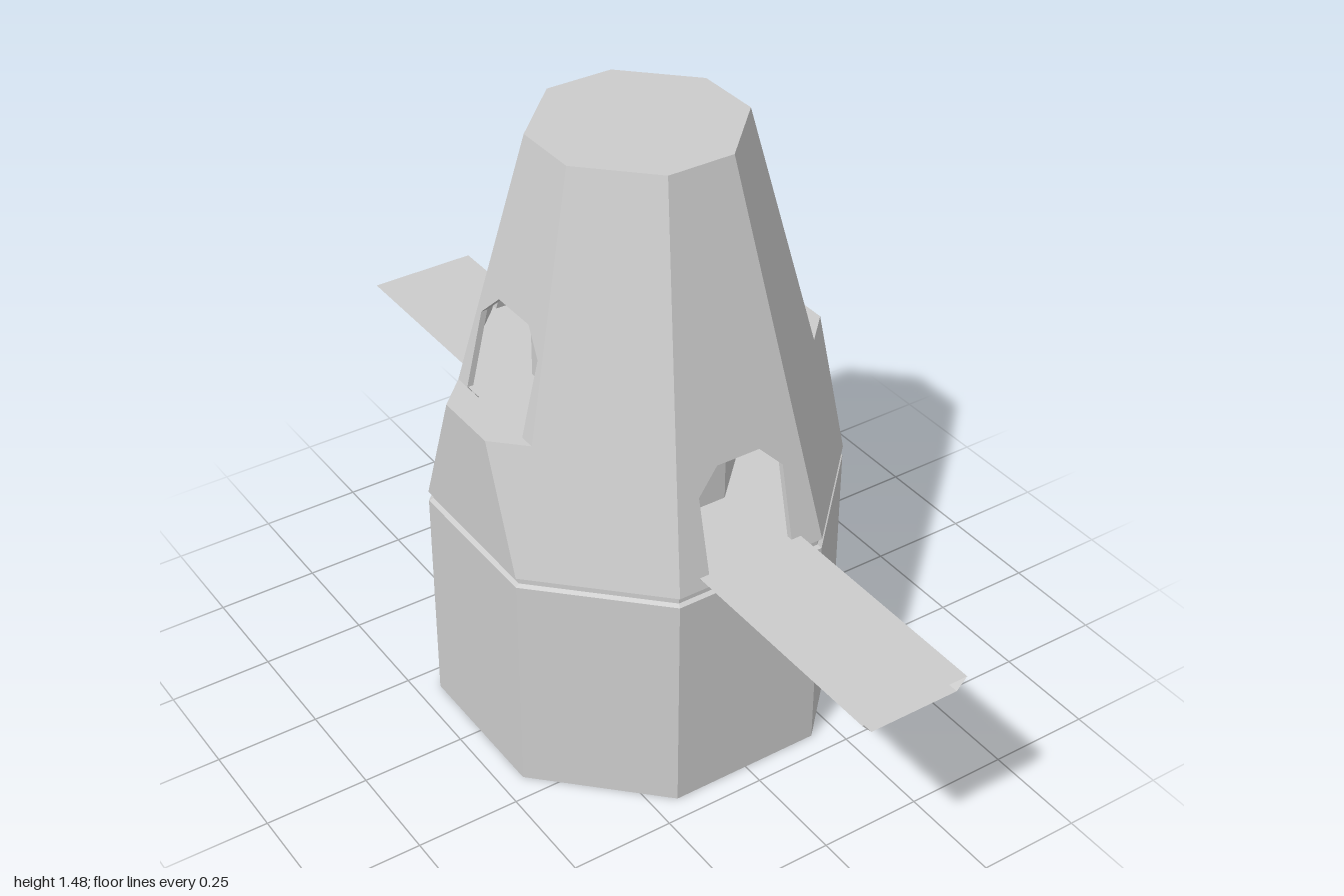
import * as THREE from 'three';

const mat = new THREE.MeshStandardMaterial({ color: 0xcccccc, flatShading: true, side: THREE.DoubleSide });

// Tower taper: face distance (a) and half width of the main faces (w) by height
const Y0 = 0.58, Y1 = 1.475, SHELF = 0.88, FLOOR = 0.605;
const mix = (p, q, y) => p + (q - p) * (y - Y0) / (Y1 - Y0);
const faceDist = y => mix(0.445, 0.23, y);
const faceHalf = y => mix(0.19, 0.082, y);

function add(parent, name, geometry) {
  const mesh = new THREE.Mesh(geometry, mat);
  mesh.name = name;
  parent.add(mesh);
  return mesh;
}

// Flat-sided geometry from convex polygons, corners counter-clockwise from outside
function polygons(list) {
  const pos = [];
  for (const p of list)
    for (let i = 1; i < p.length - 1; i++) pos.push(...p[0], ...p[i], ...p[i + 1]);
  const g = new THREE.BufferGeometry();
  g.setAttribute('position', new THREE.Float32BufferAttribute(pos, 3));
  g.computeVertexNormals();
  return g;
}

// Octagon ring at height y
const ring = (a, w, y) => [[w, a], [a, w], [a, -w], [w, -a], [-w, -a], [-a, -w], [-a, w], [-w, a]]
  .map(([x, z]) => [x, y, z]);

// Sides between successive rings; step 2 keeps only the diagonal sides
function loft(rings, step = 1) {
  const faces = [];
  for (let r = 0; r < rings.length - 1; r++)
    for (let i = 0; i < 8; i += step) {
      const j = (i + 1) % 8, lo = rings[r], hi = rings[r + 1];
      faces.push([lo[i], lo[j], hi[j], hi[i]]);
    }
  return polygons(faces);
}

// Sloping wall slab from a front outline
function wall(points) {
  const depth = 0.015;
  const shape = new THREE.Shape(points.map(([x, y]) => new THREE.Vector2(x, y)));
  const g = new THREE.ExtrudeGeometry(shape, { depth, bevelEnabled: false });
  const p = g.attributes.position;
  for (let i = 0; i < p.count; i++) p.setZ(i, p.getZ(i) + faceDist(p.getY(i)) - depth);
  g.computeVertexNormals();
  return g;
}

// Mirrors the right half of an outline
const mirrored = half => [...half, ...half.map(([x, y]) => [-x, y]).reverse()];

export function createModel() {
  const model = new THREE.Group();
  model.name = 'tower';

  // Hollow base, open below, and the groove above it
  add(model, 'base', loft([ring(0.445, 0.19, 0), ring(0.445, 0.19, 0.555)]));
  add(model, 'groove', loft([
    ring(0.445, 0.19, 0.555), ring(0.435, 0.186, 0.56),
    ring(0.435, 0.186, 0.572), ring(0.445, 0.19, Y0)]));

  // Tapered body: diagonal sides and roof
  const top = ring(0.23, 0.082, Y1);
  add(model, 'diagonalWalls', loft([ring(0.445, 0.19, Y0), top], 2));
  add(model, 'roof', polygons([top]));

  // Inner floors and central column seen through the openings
  add(model, 'lowerFloor', polygons([ring(0.43, 0.184, FLOOR - 0.002)]));
  add(model, 'upperFloor', polygons([ring(faceDist(SHELF) - 0.002, faceHalf(SHELF) - 0.001, SHELF)]));
  add(model, 'column', loft([ring(0.228, 0.08, FLOOR), ring(0.228, 0.08, Y1)]));

  // Front and back walls with a doorway, notched below for the ramp
  const doorWall = wall(mirrored([
    [0.082, Y1], [0.19, Y0], [0.11, Y0], [0.135, FLOOR], [0.11, FLOOR],
    [0.11, 0.785], [0.055, 0.84]].reverse()).reverse());

  // Open-ended ramp with slanted edges
  const section = [[0.135, FLOOR + 0.003], [-0.135, FLOOR + 0.003], [-0.11, Y0], [0.11, Y0]];
  const ramp = polygons(section.map(([x, y], i) => {
    const [u, v] = section[(i + 1) % 4];
    return [[x, y, 1], [x, y, 0.4], [u, v, 0.4], [u, v, 1]];
  }));

  // Side walls with a window above the shelf
  const windowWall = wall(mirrored([
    [0.06, 1.115], [0.115, 1.06], [0.115, SHELF], [faceHalf(SHELF), SHELF], [0.082, Y1]]));

  // Shelf block that carries the diagonal planes outwards
  const a = faceDist(SHELF), w = faceHalf(SHELF), n = a + w - 0.445;
  const shelf = polygons([
    [[-0.19, Y0, 0.445], [0.19, Y0, 0.445], [n, SHELF, 0.445], [-n, SHELF, 0.445]],
    [[-n, SHELF, 0.445], [n, SHELF, 0.445], [w, SHELF, a], [-w, SHELF, a]],
    [[0.19, Y0, 0.445], [w, SHELF, a], [n, SHELF, 0.445]],
    [[-0.19, Y0, 0.445], [-n, SHELF, 0.445], [-w, SHELF, a]]]);

  for (const [side, turn] of [['front', 0], ['back', Math.PI]]) {
    add(model, side + 'DoorWall', doorWall).rotation.y = turn;
    add(model, side + 'Ramp', ramp).rotation.y = turn;
  }
  for (const [side, turn] of [['left', Math.PI / 2], ['right', -Math.PI / 2]]) {
    add(model, side + 'WindowWall', windowWall).rotation.y = turn;
    add(model, side + 'Shelf', shelf).rotation.y = turn;
  }
  return model;
}
